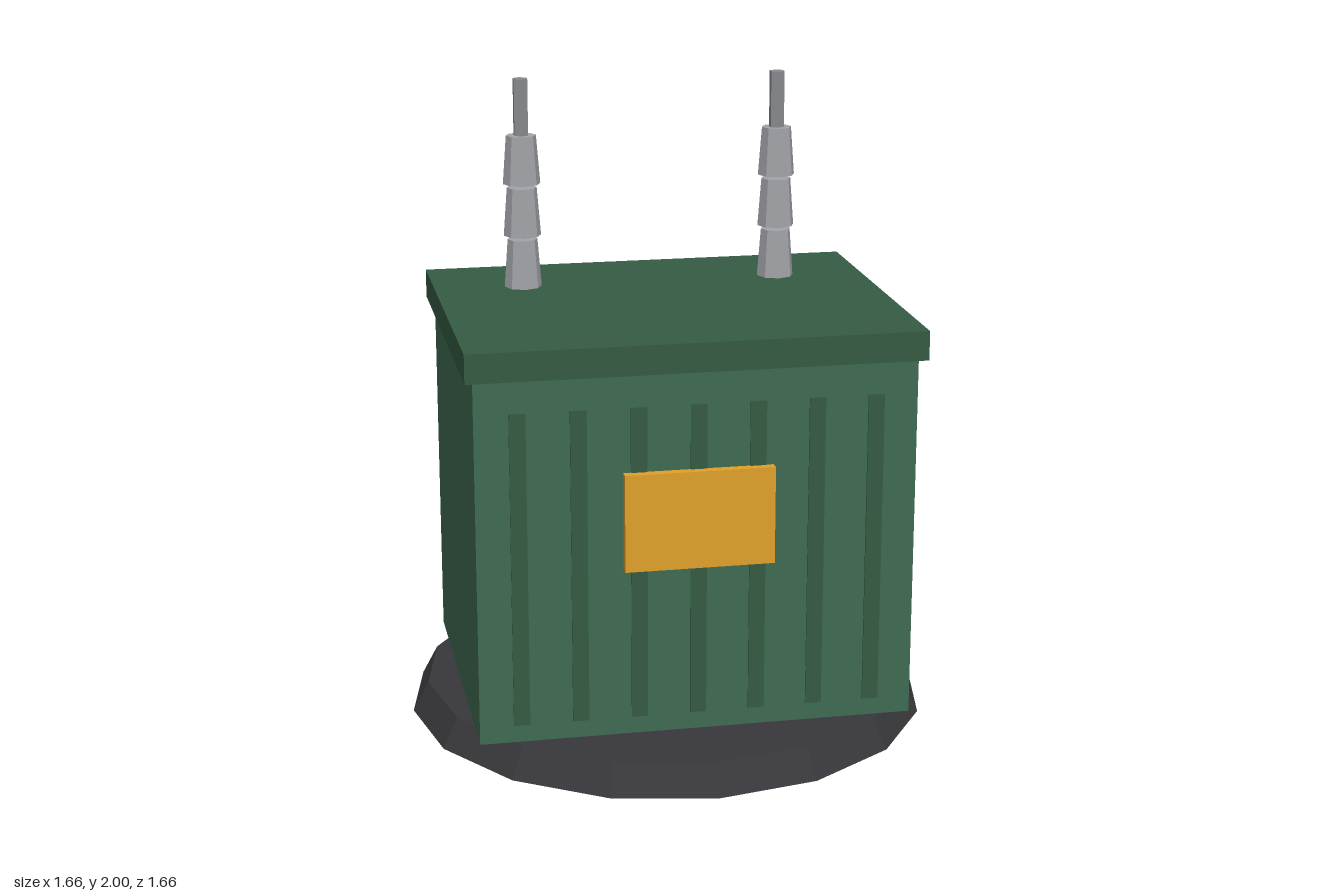
import * as THREE from 'three';

const mat = (color) => new THREE.MeshStandardMaterial({ color, flatShading: true });

export function createModel() {
  const model = new THREE.Group();
  model.name = 'transformer';
  const green = mat(0x3f6b52), darkGreen = mat(0x355b43), amber = mat(0xe0a02a);
  const dark = mat(0x38383c), porcelain = mat(0xa0a3a8), metal = mat(0x8a8d92);

  const add = (name, geometry, material, x, y, z, parent = model) => {
    const mesh = new THREE.Mesh(geometry, material);
    mesh.name = name;
    mesh.position.set(x, y, z);
    parent.add(mesh);
    return mesh;
  };
  // Box and tapered cylinder given by their bottom and top heights
  const box = (name, w, d, y0, y1, material, x = 0, z = 0) =>
    add(name, new THREE.BoxGeometry(w, y1 - y0, d), material, x, (y0 + y1) / 2, z);
  const taper = (name, rTop, rBottom, sides, y0, y1, material, x = 0, z = 0, parent = model) =>
    add(name, new THREE.CylinderGeometry(rTop, rBottom, y1 - y0, sides), material, x, (y0 + y1) / 2, z, parent);

  // Round plinth, tank and lid
  taper('base', 0.78, 0.83, 16, 0, 0.095, dark);
  box('tank', 1.35, 1.04, 0.095, 1.24, green);
  box('lid', 1.4, 1.09, 1.24, 1.331, darkGreen);

  // Shallow cooling ribs on the front and back
  for (const side of [1, -1]) {
    for (let i = -3; i <= 3; i++) {
      box(side > 0 ? 'frontRib' : 'backRib', 0.05, 0.03, 0.15, 1.137, darkGreen, i * 0.182, side * 0.51);
    }
  }

  // Warning plate on the front
  box('warningPlate', 0.46, 0.03, 0.63, 0.935, amber, 0, 0.536);

  // Stacked insulators, each topped by a terminal pin
  for (const side of [1, -1]) {
    const bushing = new THREE.Group();
    bushing.name = side > 0 ? 'leftBushing' : 'rightBushing';
    bushing.position.set(side * 0.415, 1.331, -0.26);
    model.add(bushing);
    for (let i = 0; i < 3; i++) {
      taper('insulator', 0.048, 0.06, 8, i * 0.167, i * 0.167 + 0.155, porcelain, 0, 0, bushing);
    }
    taper('terminalPin', 0.025, 0.025, 6, 0.487, 0.669, metal, 0, 0, bushing);
  }
  return model;
}
